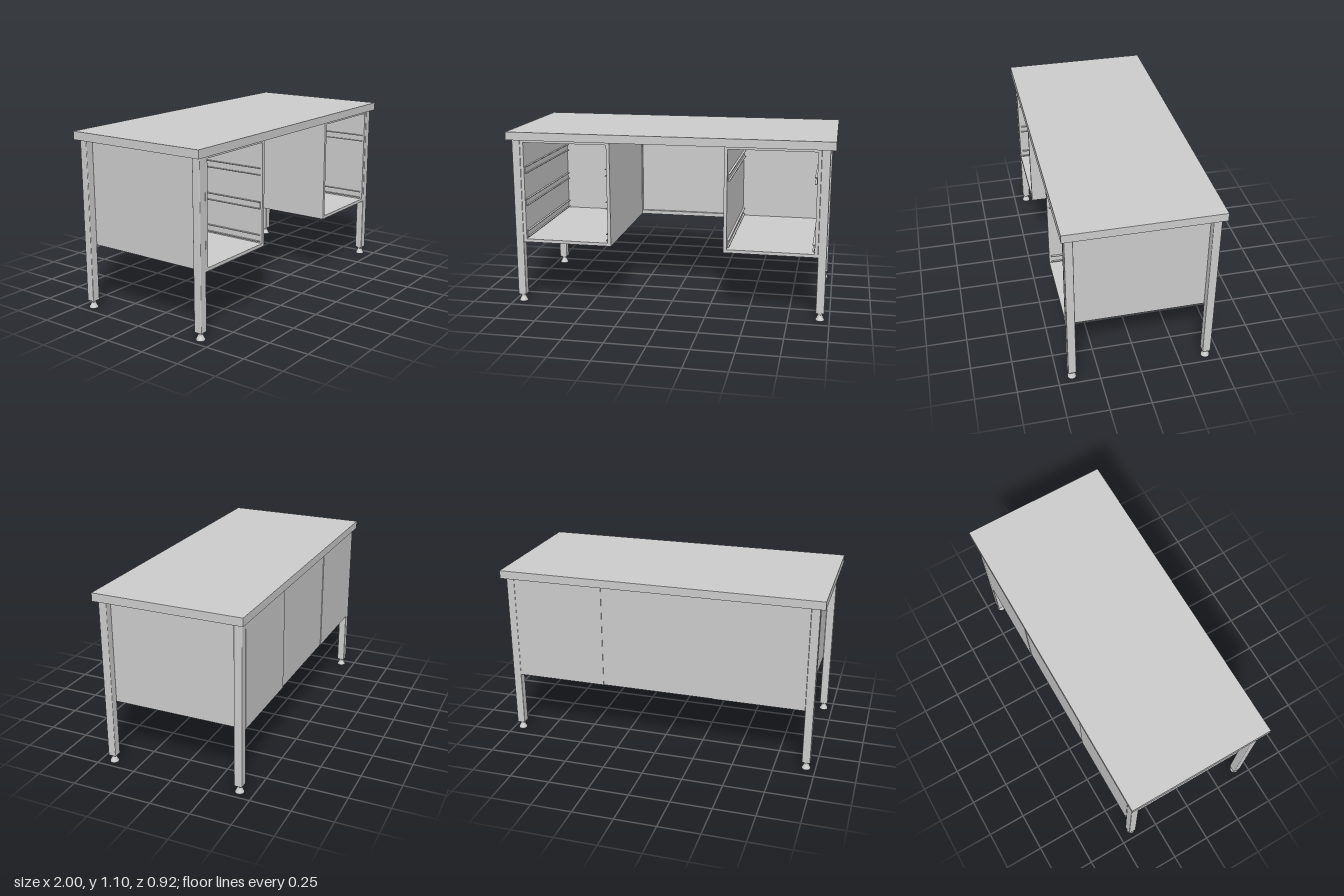
import * as THREE from 'three';
import { RoundedBoxGeometry } from 'three/addons/geometries/RoundedBoxGeometry.js';

const material = new THREE.MeshStandardMaterial({ color: 0xcccccc });

// Box given by its minimum and maximum corners
function box(name, [x0, y0, z0], [x1, y1, z1]) {
  const mesh = new THREE.Mesh(new THREE.BoxGeometry(x1 - x0, y1 - y0, z1 - z0), material);
  mesh.name = name;
  mesh.position.set((x0 + x1) / 2, (y0 + y1) / 2, (z0 + z1) / 2);
  return mesh;
}

// Square post with softened edges on a flared levelling foot
function createLeg(x, z) {
  const leg = new THREE.Group();
  leg.name = 'leg';
  const post = new THREE.Mesh(new RoundedBoxGeometry(0.052, 1.002, 0.05, 3, 0.005), material);
  post.name = 'legPost';
  post.position.y = 0.549;
  const profile = [[0, 0], [0.025, 0], [0.027, 0.003], [0.027, 0.009], [0.023, 0.014],
    [0.014, 0.035], [0.014, 0.039], [0.018, 0.041], [0.018, 0.05]];
  const foot = new THREE.Mesh(
    new THREE.LatheGeometry(profile.map(([r, y]) => new THREE.Vector2(r, y)), 24), material);
  foot.name = 'foot';
  leg.add(post, foot);
  leg.position.set(x, 0, z);
  return leg;
}

// C-shaped runner fixed to a cabinet wall; side is the direction it points
function createRunner(wallX, y, side) {
  const runner = new THREE.Group();
  runner.name = 'drawerRunner';
  const part = (name, reach, y0, y1) => {
    const end = wallX + side * reach;
    runner.add(box(name, [Math.min(wallX, end), y0, -0.41], [Math.max(wallX, end), y1, 0.425]));
  };
  part('runnerWeb', 0.003, y - 0.022, y + 0.022);
  part('runnerLowerLip', 0.014, y - 0.022, y - 0.018);
  part('runnerUpperLip', 0.014, y + 0.018, y + 0.022);
  return runner;
}

// Open-fronted drawer cabinet between x0 and x1
function createCabinet(name, x0, x1, runnerHeights) {
  const cabinet = new THREE.Group();
  cabinet.name = name;
  const t = 0.02, bottom = 0.4, top = 1.05, back = -0.44, front = 0.438;
  cabinet.add(
    box('cabinetSide', [x0, bottom, back], [x0 + t, top, front]),
    box('cabinetSide', [x1 - t, bottom, back], [x1, top, front]),
    box('cabinetFloor', [x0 + t, bottom, back], [x1 - t, bottom + t, front]),
    box('cabinetCeiling', [x0 + t, top - t + 0.004, back], [x1 - t, top, front]),
    box('cabinetBack', [x0 + t, bottom + t, back], [x1 - t, top - t + 0.004, back + t]));
  for (const y of runnerHeights) {
    cabinet.add(createRunner(x0 + t, y, 1), createRunner(x1 - t, y, -1));
  }
  return cabinet;
}

export function createModel() {
  const desk = new THREE.Group();
  desk.name = 'desk';
  desk.add(box('tabletop', [-1, 1.05, -0.46], [1, 1.1, 0.46]));

  for (const x of [-0.943, 0.943]) {
    for (const z of [-0.415, 0.415]) desk.add(createLeg(x, z));
  }

  desk.add(
    createCabinet('rightCabinet', -0.917, -0.35, [0.86, 0.655, 0.452]),
    createCabinet('leftCabinet', 0.35, 0.917, [0.86, 0.452]));

  // Back panel of the knee space with folded edges
  const panel = new THREE.Group();
  panel.name = 'modestyPanel';
  panel.add(
    box('panelSheet', [-0.35, 0.4, -0.436], [0.35, 1.05, -0.43]),
    box('panelBottomFlange', [-0.35, 0.4, -0.43], [0.35, 0.425, -0.41]),
    box('panelSideFlange', [-0.35, 0.425, -0.43], [-0.345, 1.05, -0.41]),
    box('panelSideFlange', [0.345, 0.425, -0.43], [0.35, 1.05, -0.41]));
  desk.add(panel);
  return desk;
}
